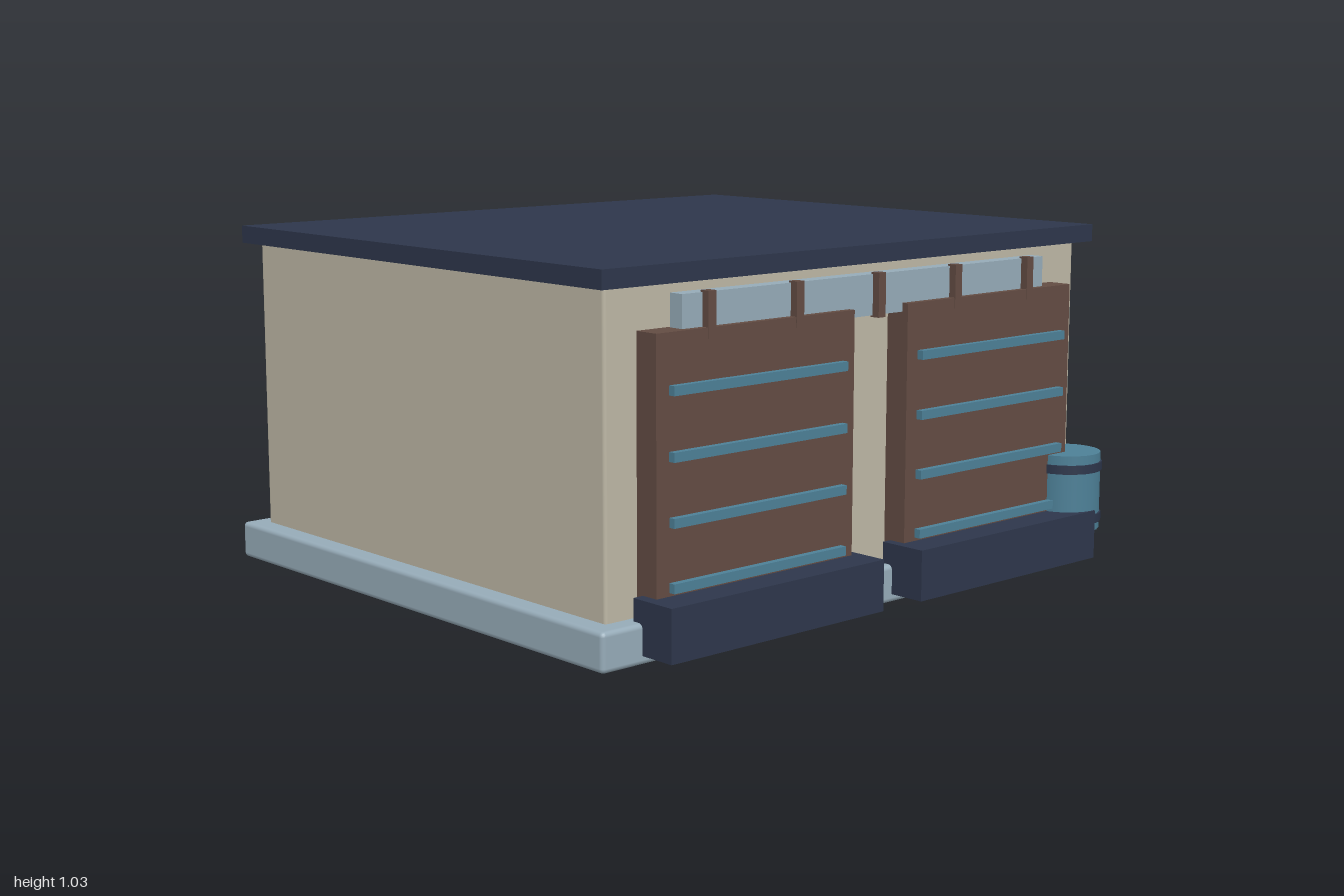
import * as THREE from 'three';
import { RoundedBoxGeometry } from 'three/addons/geometries/RoundedBoxGeometry.js';

const mat = (name, color) => Object.assign(new THREE.MeshStandardMaterial({ color }), { name });

export function createModel() {
  const root = new THREE.Group();
  root.name = 'storageBuilding';
  const stone = mat('pale blue grey', 0x96abb8);
  const plaster = mat('warm beige', 0xbdb7a5);
  const navy = mat('navy', 0x2d364b);
  const wood = mat('brown wood', 0x634c43);
  const teal = mat('teal', 0x4d8097);

  const add = (name, geometry, material, parent = root) => {
    const mesh = new THREE.Mesh(geometry, material);
    mesh.name = name;
    parent.add(mesh);
    return mesh;
  };

  // Box given by its extents; a bevel rounds the edges
  const box = (name, material, [x0, x1], [y0, y1], [z0, z1], bevel = 0, parent = root) => {
    const size = [x1 - x0, y1 - y0, z1 - z0];
    const geometry = bevel
      ? new RoundedBoxGeometry(...size, 2, bevel)
      : new THREE.BoxGeometry(...size);
    geometry.translate((x0 + x1) / 2, (y0 + y1) / 2, (z0 + z1) / 2);
    return add(name, geometry, material, parent);
  };

  // Main volumes
  box('foundation', stone, [-1, 1], [0, 0.11], [-0.925, 0.811], 0.014);
  box('walls', plaster, [-0.94, 0.94], [0.1, 0.98], [-0.867, 0.752], 0.01);
  box('roof', navy, [-0.98, 0.98], [0.978, 1.03], [-0.907, 0.793]);

  // Fascia board with hanging brackets
  box('fascia', stone, [-0.725, 0.725], [0.835, 0.95], [0.76, 0.807]);
  for (const x of [-0.64, -0.32, 0, 0.32, 0.64]) {
    box('bracket', wood, [x - 0.014, x + 0.014], [0.83, 0.955], [0.8, 0.83]);
  }

  // Paired doors, each with four rails and a trough below
  for (const side of [-1, 1]) {
    const bay = new THREE.Group();
    bay.name = side < 0 ? 'rightBay' : 'leftBay';
    root.add(bay);
    const span = (a, b) => (side < 0 ? [-b, -a] : [a, b]);
    box('door', wood, span(0.108, 0.832), [0.11, 0.86], [0.748, 0.828], 0, bay);
    for (let i = 0; i < 4; i++) {
      const y = 0.195 + i * 0.172;
      box('doorRail', teal, span(0.152, 0.788), [y - 0.013, y + 0.013], [0.82, 0.848], 0, bay);
    }
    box('trough', navy, span(0.078, 0.865), [0.025, 0.172], [0.775, 0.923], 0, bay);
  }

  // Narrow joints on the foundation front
  for (const x of [-0.62, 0, 0.62]) {
    box('foundationJoint', navy, [x - 0.01, x + 0.01], [0.02, 0.092], [0.802, 0.816]);
  }

  // Barrel at the front corner
  const barrel = new THREE.Group();
  barrel.name = 'barrel';
  barrel.position.set(0.855, 0, 0.81);
  root.add(barrel);
  add('barrelBody', new THREE.CylinderGeometry(0.108, 0.108, 0.237, 20), teal, barrel).position.y = 0.2265;
  for (const y of [0.145, 0.303]) {
    add('barrelHoop', new THREE.CylinderGeometry(0.113, 0.113, 0.027, 20), navy, barrel).position.y = y;
  }
  return root;
}
